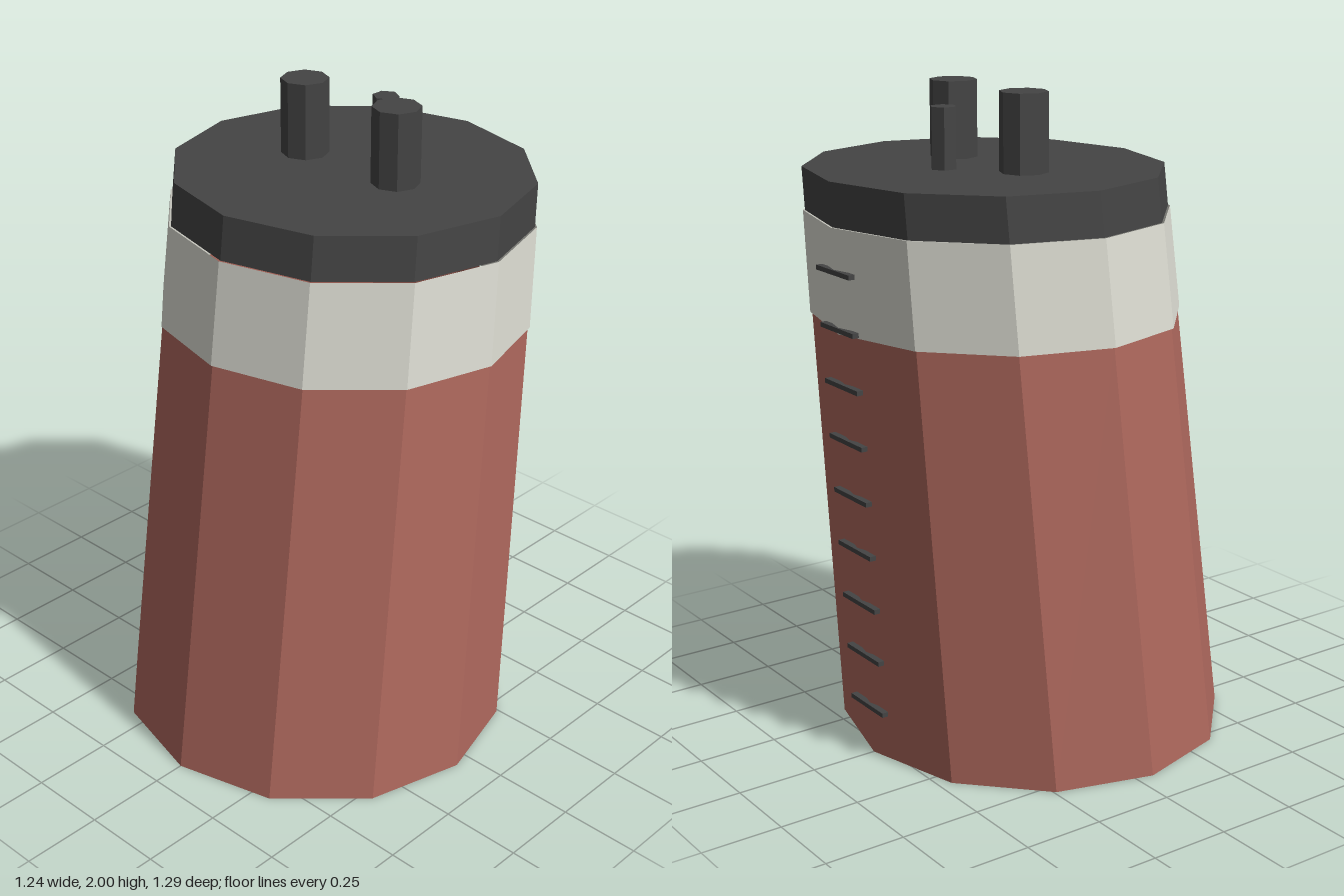
import * as THREE from 'three';

const material = (color) =>
  new THREE.MeshStandardMaterial({ color, flatShading: true, side: THREE.DoubleSide });
const red = material(0xb0695e);
const pale = material(0xe0e0d6);
const dark = material(0x444444);

// Rings of the leaning, tapering twelve-sided shell
const BASE = { y: 0, z: 0.055, rx: 0.62, rz: 0.595 };
const SEAM = { y: 1.33, z: -0.078, rx: 0.573, rz: 0.541 };
const RIM = { y: 1.64, z: -0.107, rx: 0.56, rz: 0.528 };
const TOP = { y: 1.77, z: -0.119, rx: 0.555, rz: 0.524 };

// Cylinder remapped so its ends match two rings, optionally grown outwards
function section(name, low, high, mat, open, grow = 0) {
  const geo = new THREE.CylinderGeometry(1, 1, 1, 12, 1, open);
  const pos = geo.attributes.position;
  for (let i = 0; i < pos.count; i++) {
    const ring = pos.getY(i) > 0 ? high : low;
    pos.setXYZ(
      i,
      pos.getX(i) * (ring.rx + grow),
      ring.y,
      ring.z + pos.getZ(i) * (ring.rz + grow)
    );
  }
  geo.computeVertexNormals();
  const mesh = new THREE.Mesh(geo, mat);
  mesh.name = name;
  return mesh;
}

// Upright peg standing in the lid
function peg(name, radius, sides, x, z, top) {
  const height = top - TOP.y + 0.03;
  const mesh = new THREE.Mesh(new THREE.CylinderGeometry(radius, radius, height, sides), dark);
  mesh.position.set(x, top - height / 2, z);
  mesh.name = name;
  return mesh;
}

export function createModel() {
  const model = new THREE.Group();
  model.name = 'container';

  // Shell, open underneath, with a pale collar and dark lid
  model.add(section('body', BASE, SEAM, red, true));
  model.add(section('collar', SEAM, RIM, pale, true, 0.006));
  model.add(section('lid', RIM, TOP, dark, false));

  // Two terminals and a small vent peg
  for (const side of [-1, 1]) {
    model.add(peg(side > 0 ? 'leftTerminal' : 'rightTerminal', 0.072, 8, side * 0.18, -0.105, 2));
  }
  model.add(peg('ventPeg', 0.04, 6, 0, -0.26, 1.95));

  // Level marks up the back ridge
  const marks = new THREE.Group();
  marks.name = 'levelMarks';
  const markGeo = new THREE.BoxGeometry(0.18, 0.014, 0.02);
  for (let i = 0; i < 9; i++) {
    const y = 0.16 + i * 0.169;
    const [low, high] = y < SEAM.y ? [BASE, SEAM] : [SEAM, RIM];
    const t = (y - low.y) / (high.y - low.y);
    const mark = new THREE.Mesh(markGeo, dark);
    mark.name = 'levelMark';
    mark.position.set(0, y, THREE.MathUtils.lerp(low.z - low.rz, high.z - high.rz, t) - 0.002);
    marks.add(mark);
  }
  model.add(marks);
  return model;
}
